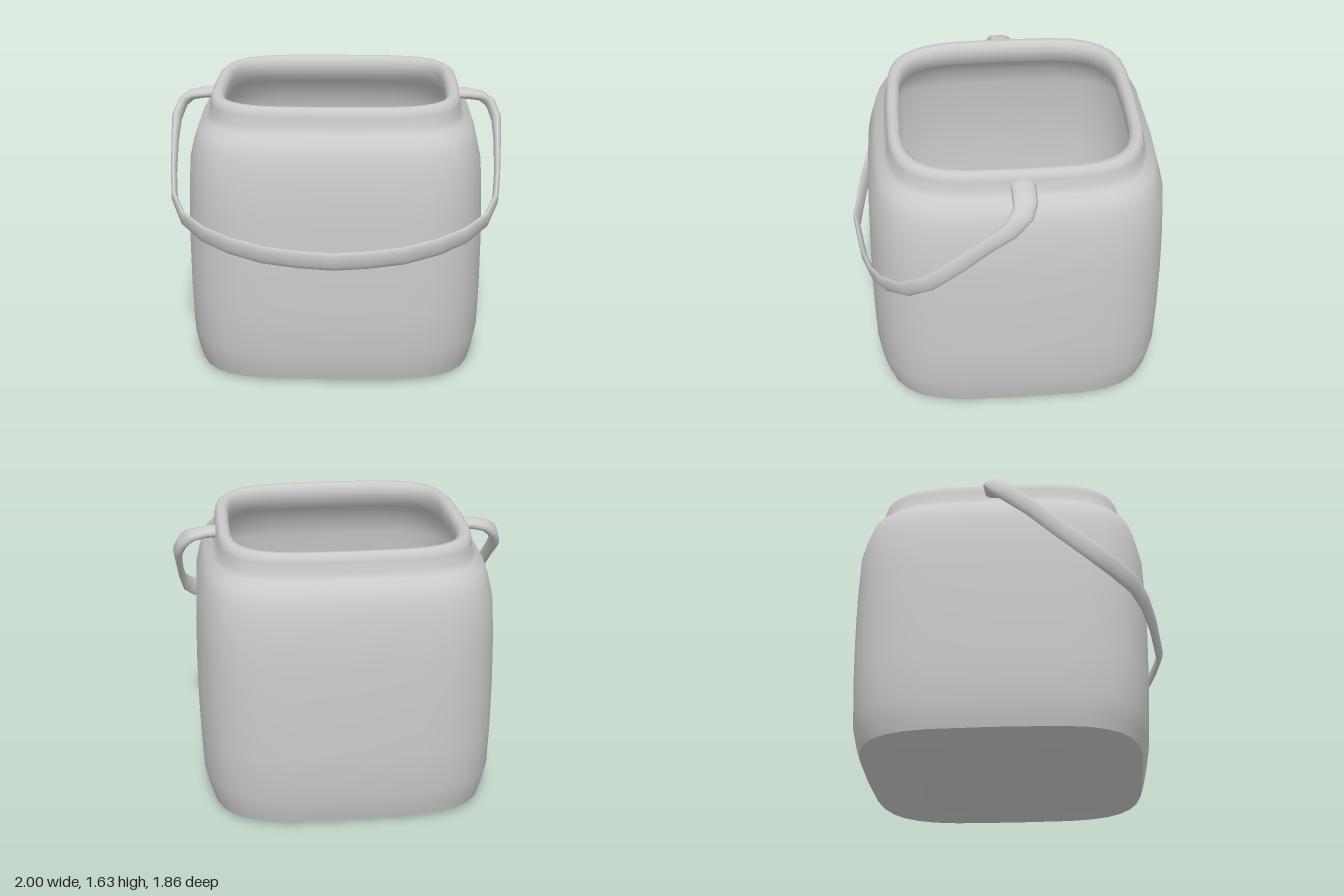
import * as THREE from 'three';
import { toCreasedNormals } from 'three/addons/utils/BufferGeometryUtils.js';

const material = new THREE.MeshStandardMaterial({ color: 0xcccccc });

// Skin a list of closed rings of equal point count.
function loft(rings, crease) {
  const n = rings[0].length;
  const index = [];
  for (let i = 0; i < rings.length - 1; i++) {
    for (let j = 0; j < n; j++) {
      const k = (j + 1) % n;
      const a = i * n + j, b = (i + 1) * n + j, c = (i + 1) * n + k, d = i * n + k;
      index.push(a, b, c, a, c, d);
    }
  }
  const geometry = new THREE.BufferGeometry().setFromPoints(rings.flat());
  geometry.setIndex(index);
  geometry.computeVertexNormals();
  return crease ? toCreasedNormals(geometry, crease) : geometry;
}

// Rounded-square ring at height y.
function squircle(half, y, sides = 32) {
  const soft = (v) => Math.sign(v) * Math.sqrt(Math.abs(v) < 1e-9 ? 0 : Math.abs(v));
  return Array.from({ length: sides }, (_, j) => {
    const a = (j / sides) * Math.PI * 2;
    return new THREE.Vector3(half * soft(Math.cos(a)), y, half * soft(Math.sin(a)));
  });
}

function createBucket() {
  // [half width, y]: underside, outer wall, rim, inner wall, inner floor
  const profile = [
    [0, 0], [0.76, 0], [0.825, 0.02], [0.845, 0.09], [0.868, 0.2], [0.877, 0.45],
    [0.88, 0.75], [0.876, 1.0], [0.865, 1.25], [0.84, 1.36], [0.81, 1.45],
    [0.765, 1.485], [0.748, 1.52], [0.742, 1.58], [0.735, 1.615], [0.715, 1.632],
    [0.685, 1.63], [0.665, 1.61], [0.66, 1.57], [0.67, 1.5], [0.74, 1.45],
    [0.81, 1.35], [0.845, 1.24], [0.86, 0.75], [0.85, 0.2], [0.81, 0.06],
    [0.75, 0.03], [0, 0.03],
  ];
  const bucket = new THREE.Mesh(loft(profile.map(([h, y]) => squircle(h, y)), 0.9), material);
  bucket.name = 'bucketBody';
  bucket.position.z = -0.05;
  return bucket;
}

function createHandle() {
  // x, y, z of the left half, band direction (y, z), half width, half thickness
  const half = [
    [0.70, 1.555, -0.05, 0, 1, 0.07, 0.032],
    [0.80, 1.55, -0.05, 0, 1, 0.07, 0.032],
    [0.88, 1.535, -0.05, 0.1, 1, 0.07, 0.032],
    [0.935, 1.495, -0.035, 0.35, 0.9, 0.065, 0.032],
    [0.968, 1.415, 0.035, 0.65, 0.75, 0.056, 0.03],
    [0.966, 1.31, 0.17, 0.77, 0.64, 0.05, 0.022],
    [0.955, 1.16, 0.35, 0.78, 0.62, 0.054, 0.018],
    [0.935, 1.045, 0.5, 0.8, 0.6, 0.057, 0.018],
    [0.875, 0.965, 0.625, 0.88, 0.47, 0.058, 0.018],
    [0.75, 0.91, 0.745, 0.95, 0.33, 0.058, 0.018],
    [0.60, 0.865, 0.81, 0.97, 0.25, 0.058, 0.017],
    [0.40, 0.825, 0.857, 0.97, 0.22, 0.058, 0.017],
    [0.20, 0.808, 0.884, 0.97, 0.2, 0.057, 0.017],
  ];
  const rows = [
    ...half,
    [0, 0.803, 0.908, 0.97, 0.2, 0.057, 0.017],
    ...half.slice().reverse().map(([x, ...rest]) => [-x, ...rest]),
  ];
  const centres = rows.map(([x, y, z]) => new THREE.Vector3(x, y, z));
  const sides = 12;
  const rings = rows.map((row, i) => {
    const before = centres[Math.max(i - 1, 0)];
    const after = centres[Math.min(i + 1, rows.length - 1)];
    const tangent = after.clone().sub(before).normalize();
    const wide = new THREE.Vector3(0, row[3], row[4]);
    wide.addScaledVector(tangent, -wide.dot(tangent)).normalize();
    const thin = wide.clone().cross(tangent);
    return Array.from({ length: sides }, (_, j) => {
      const a = (j / sides) * Math.PI * 2;
      return centres[i].clone()
        .addScaledVector(wide, row[5] * Math.cos(a))
        .addScaledVector(thin, row[6] * Math.sin(a));
    });
  });
  const handle = new THREE.Mesh(loft(rings), material);
  handle.name = 'carryHandle';
  return handle;
}

export function createModel() {
  const model = new THREE.Group();
  model.name = 'bucket';
  model.add(createBucket(), createHandle());
  return model;
}
